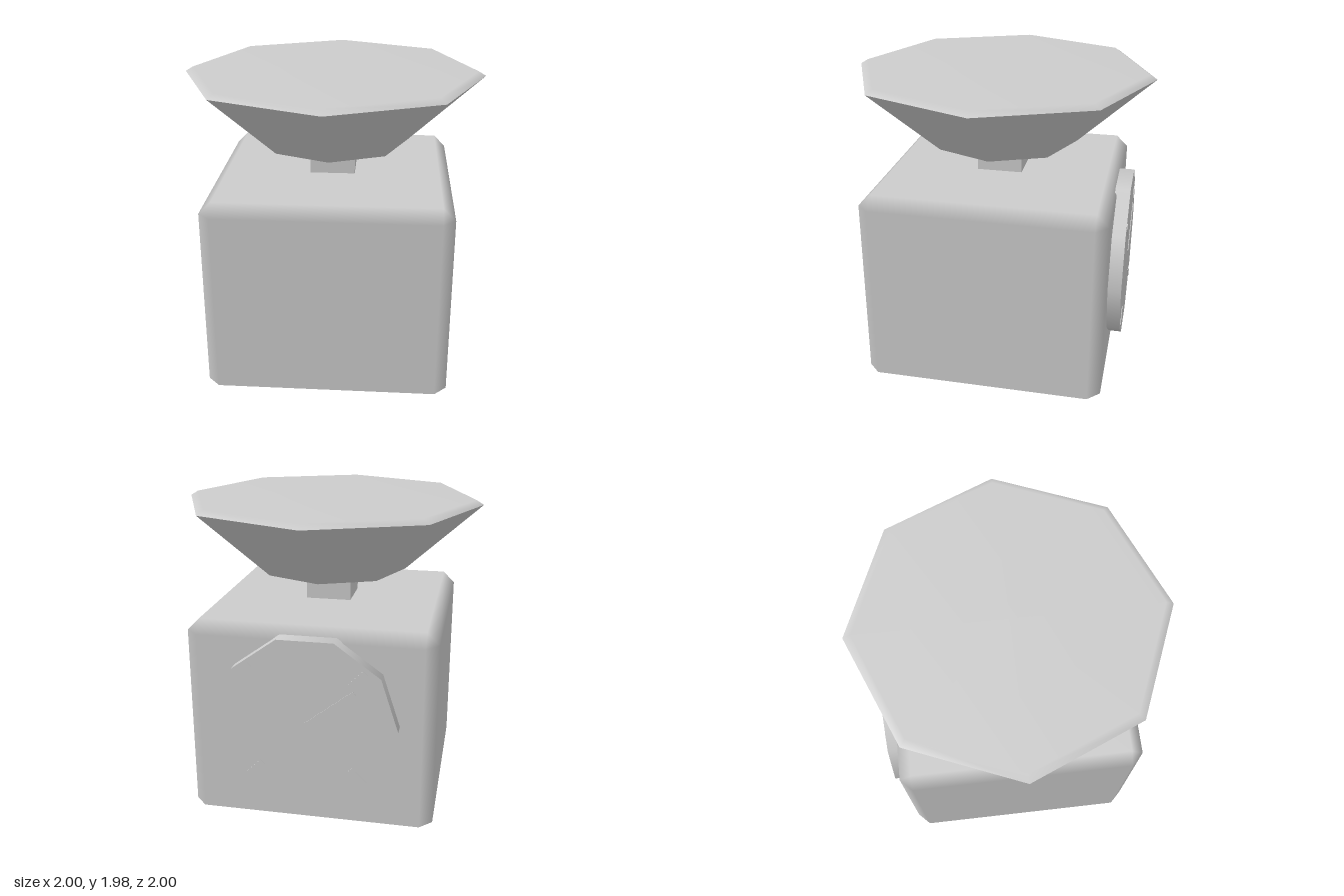
import * as THREE from 'three';

const grey = new THREE.MeshStandardMaterial({ color: 0xcccccc });
grey.name = 'light grey';

function part(name, geometry, x = 0, y = 0, z = 0) {
  const mesh = new THREE.Mesh(geometry, grey);
  mesh.name = name;
  mesh.position.set(x, y, z);
  return mesh;
}

// Box with bevelled top and upright edges; flat faces stay flat, bevels shade softly
function bevelledBox(half, height, bevel) {
  const inner = half - bevel;
  const pos = [], nor = [], idx = [];
  const add = (x, y, z, n) => { pos.push(x, y, z); nor.push(...n); };
  const up = [0, 1, 0], down = [0, -1, 0];
  // Four rings of eight points: base, shoulder, top edge, underside
  const rings = [[0, half], [height - bevel, half], [height, inner, up], [0, half, down]];
  for (const [y, reach, normal] of rings) {
    for (let k = 0; k < 4; k++) {
      const c = Math.round(Math.cos(k * Math.PI / 2)), s = Math.round(Math.sin(k * Math.PI / 2));
      for (const side of [-inner, inner]) {
        add(c * reach - s * side, y, s * reach + c * side, normal || [c, 0, s]);
      }
    }
  }
  add(0, height, 0, up);
  add(0, 0, 0, down);
  for (let i = 0; i < 8; i++) {
    const j = (i + 1) % 8;
    for (const r of [0, 8]) {
      idx.push(r + i, r + 8 + i, r + j, r + j, r + 8 + i, r + 8 + j);
    }
    idx.push(32, 16 + j, 16 + i, 33, 24 + i, 24 + j);
  }
  const g = new THREE.BufferGeometry();
  g.setAttribute('position', new THREE.Float32BufferAttribute(pos, 3));
  g.setAttribute('normal', new THREE.Float32BufferAttribute(nor, 3));
  g.setIndex(idx);
  return g;
}

// Thin bar on the dial, lying along a ray from the dial centre
function dialBar(name, angle, from, to, width) {
  const mid = (from + to) / 2;
  const bar = part(name, new THREE.BoxGeometry(to - from, width, 0.008),
    -Math.cos(angle) * mid, Math.sin(angle) * mid, -0.887);
  bar.rotation.z = -angle;
  return bar;
}

export function createModel() {
  const model = new THREE.Group();
  model.name = 'kitchenScale';

  // Body and stem
  model.add(part('body', bevelledBox(0.8, 1.3, 0.08)));
  model.add(part('stem', new THREE.BoxGeometry(0.3, 0.22, 0.3), 0, 1.4, 0));

  // Eight-sided weighing pan with a low bevelled rim
  const pan = new THREE.Group();
  pan.name = 'pan';
  pan.add(part('panBowl', new THREE.CylinderGeometry(1, 0.5, 0.45, 8), 0, 1.725, 0));
  const rim = [[1, 1.95], [0.95, 1.98], [0, 1.98]].map(p => new THREE.Vector2(...p));
  pan.add(part('panTop', new THREE.LatheGeometry(rim, 8)));
  model.add(pan);

  // Ten-sided dial on the back, with four marks and a needle
  const dial = new THREE.Group();
  dial.name = 'dial';
  dial.position.y = 0.7;
  const disc = new THREE.CylinderGeometry(0.58, 0.58, 0.1, 10, 1, false, Math.PI / 2);
  disc.rotateX(Math.PI / 2);
  dial.add(part('dialFace', disc, 0, 0, -0.837));
  for (let i = 0; i < 4; i++) {
    dial.add(dialBar('dialMark', Math.PI / 4 + i * Math.PI / 2, 0.4, 0.53, 0.04));
  }
  dial.add(dialBar('needle', 0.66, 0, 0.39, 0.03));
  model.add(dial);

  return model;
}
